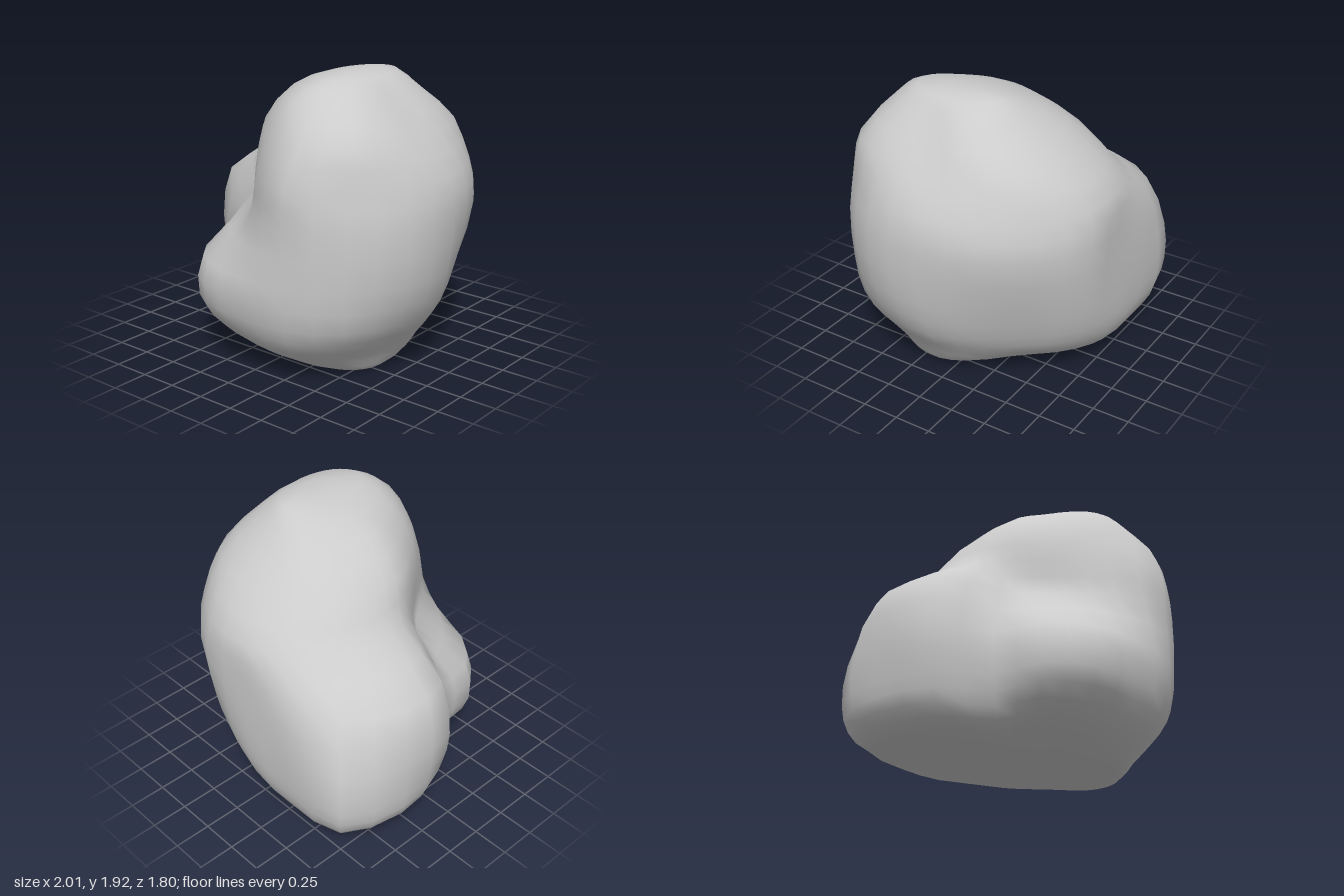
import * as THREE from 'three';
import { mergeVertices } from 'three/addons/utils/BufferGeometryUtils.js';

const SIDES = 32, ROWS = 22;

// Level cross-sections: height, then 16 radii going round from +x towards +z.
// The hollow after the front separates the front lobe, the side lobe and the main mass.
const LEVELS = [
  [0.10, .66, .70, .72, .69, .62, .54, .52, .52, .66, .86, .98, .82, .72, .60, .53, .58],
  [0.22, .74, .78, .83, .85, .79, .77, .75, .62, .85, 1.02, 1.12, .91, .82, .74, .67, .68],
  [0.40, .87, .91, .96, .94, .88, .90, .86, .68, .92, 1.06, 1.17, .94, .87, .84, .77, .79],
  [0.68, .96, 1.01, 1.01, .97, .90, .88, .82, .69, .97, 1.07, 1.15, .95, .88, .91, .87, .89],
  [1.05, 1.0, 1.03, 1.02, .96, .75, .54, .47, .53, .88, .99, 1.00, .92, .87, .95, .96, .98],
  [1.30, .96, .98, .98, .95, .70, .52, .45, .45, .52, .60, .68, .78, .85, .91, .92, .94],
  [1.55, .69, .75, .82, .78, .63, .52, .46, .47, .51, .54, .60, .66, .70, .75, .78, .74],
  [1.77, .42, .45, .50, .51, .49, .41, .35, .34, .37, .38, .41, .46, .48, .50, .51, .47],
];

// Closed smooth ring through the given radii
function ring(y, cx, cz, radii) {
  const pts = radii.map((r, k) => {
    const a = (k / radii.length) * Math.PI * 2;
    return new THREE.Vector3(cx + r * Math.cos(a), y, cz + r * Math.sin(a));
  });
  const curve = new THREE.CatmullRomCurve3(pts, true);
  return Array.from({ length: SIDES }, (_, j) => curve.getPoint(j / SIDES));
}

// Plain oval ring for the underside and the summit; zero radii give a pole
function oval(y, cx, cz, rx, rz) {
  return Array.from({ length: SIDES }, (_, j) => {
    const a = (j / SIDES) * Math.PI * 2;
    return new THREE.Vector3(cx + rx * Math.cos(a), y, cz + rz * Math.sin(a));
  });
}

function boulderGeometry() {
  const rings = [
    oval(0, 0.36, 0.22, 0, 0),
    oval(0.015, 0.35, 0.2, 0.25, 0.25),
    // the upper levels drift towards the summit
    ...LEVELS.map(([y, ...radii]) => {
      const drift = Math.max(0, y - 1.3) * 0.42;
      return ring(y, drift, drift / 2, radii);
    }),
    oval(1.89, 0.32, 0.09, 0.19, 0.32),
    oval(1.915, 0.32, -0.03, 0, 0),
  ];

  // Smooth columns from the underside to the summit
  const positions = [], index = [];
  for (let j = 0; j < SIDES; j++) {
    const column = new THREE.CatmullRomCurve3(rings.map((r) => r[j]));
    for (let i = 0; i <= ROWS; i++) positions.push(...column.getPoint(i / ROWS).toArray());
  }

  // Skin, with single triangles at the two poles
  const id = (i, j) => (j % SIDES) * (ROWS + 1) + i;
  for (let j = 0; j < SIDES; j++) {
    for (let i = 0; i < ROWS; i++) {
      const a = id(i, j), b = id(i + 1, j), c = id(i + 1, j + 1), d = id(i, j + 1);
      if (i < ROWS - 1) index.push(a, b, c);
      if (i > 0) index.push(a, c, d);
    }
  }
  const shell = new THREE.BufferGeometry();
  shell.setAttribute('position', new THREE.Float32BufferAttribute(positions, 3));
  shell.setIndex(index);
  const geo = mergeVertices(shell, 1e-4);
  geo.computeVertexNormals();
  return geo;
}

export function createModel() {
  const group = new THREE.Group();
  group.name = 'rock';
  const boulder = new THREE.Mesh(
    boulderGeometry(),
    new THREE.MeshStandardMaterial({ color: 0xcccccc })
  );
  boulder.name = 'boulder';
  group.add(boulder);
  return group;
}
